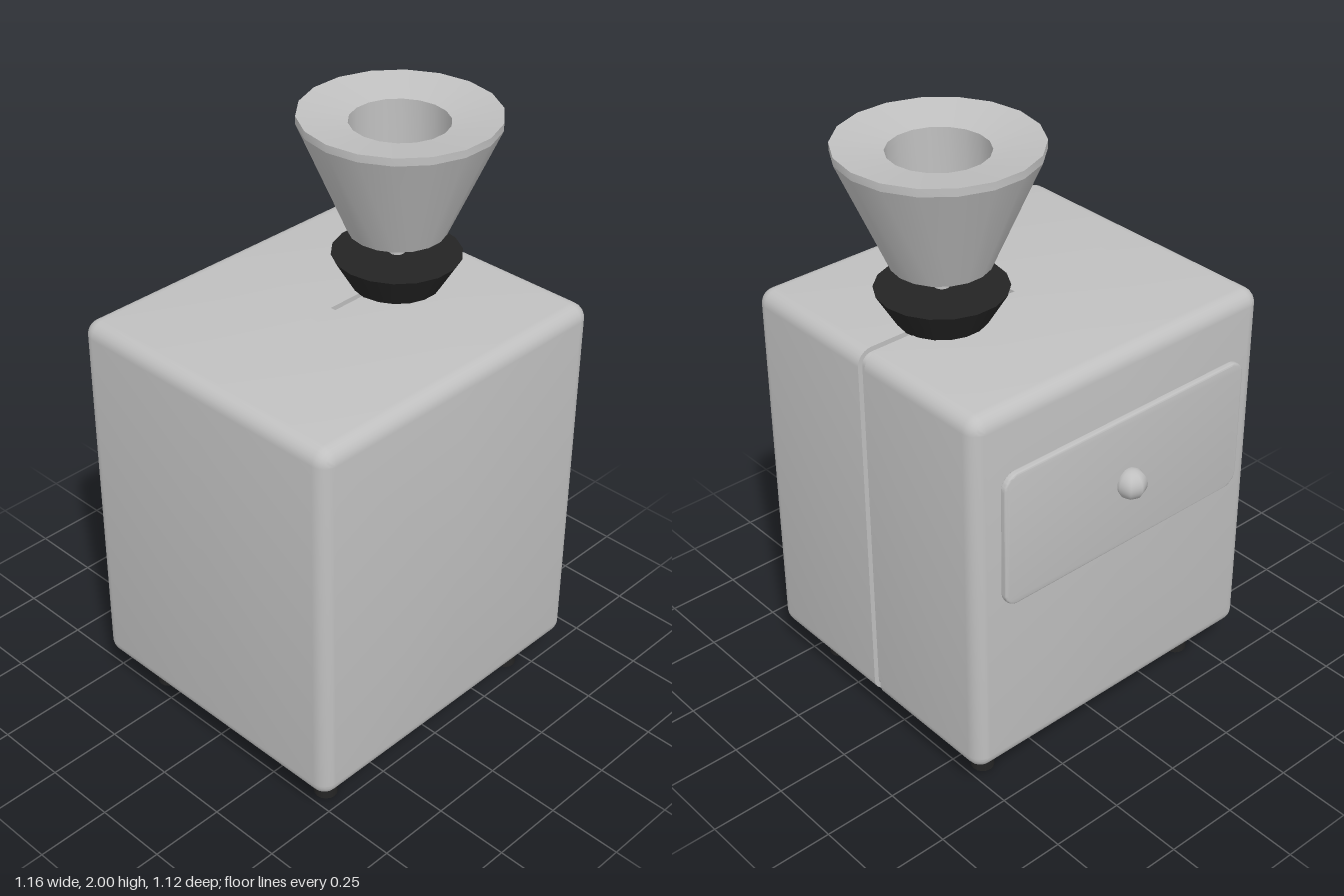
import * as THREE from 'three';
import { toCreasedNormals } from 'three/addons/utils/BufferGeometryUtils.js';

const grey = new THREE.MeshStandardMaterial({ color: 0xc0c0c0 });
grey.name = 'lightGrey';
const black = new THREE.MeshStandardMaterial({ color: 0x242424 });
black.name = 'black';

function add(group, name, geometry, material, x = 0, y = 0, z = 0) {
  const mesh = new THREE.Mesh(geometry, material);
  mesh.name = name;
  mesh.position.set(x, y, z);
  group.add(mesh);
  return mesh;
}

// One rounded-rectangle cross-section; the +x half can be sunk deeper than the rest
function ring(hx, hy, radius, inset, sunk) {
  const points = [];
  const corner = (sx, sy, start) => {
    const d = inset + (sx > 0 ? sunk : 0);
    const r = Math.max(radius - d, 0);
    for (let k = 0; k <= 6; k++) {
      const a = start + (k / 6) * Math.PI / 2;
      points.push([sx * (hx - d - r) + r * Math.cos(a), sy * (hy - d - r) + r * Math.sin(a)]);
    }
  };
  corner(1, 1, 0);
  points.push([0, hy - inset - sunk], [0, hy - inset]);
  corner(-1, 1, Math.PI / 2);
  corner(-1, -1, Math.PI);
  points.push([0, -hy + inset], [0, -hy + inset + sunk]);
  corner(1, -1, Math.PI * 1.5);
  return points;
}

// Rounded box lofted front to back, with a groove wrapping its +x half
function bodyGeometry() {
  const hx = 0.58, hy = 0.647, r = 0.05, zFront = 0.56, zBack = -0.473;
  const stations = [];
  for (let k = 0; k <= 6; k++) {
    const a = (k / 6) * Math.PI / 2;
    stations.push([zFront - r + r * Math.cos(a), r * (1 - Math.sin(a)), 0]);
  }
  stations.push([0.044, 0, 0], [0.044, 0, 0.016], [0.014, 0, 0.016], [0.014, 0, 0]);
  for (let k = 0; k <= 6; k++) {
    const a = (k / 6) * Math.PI / 2;
    stations.push([zBack + r - r * Math.sin(a), r * (1 - Math.cos(a)), 0]);
  }
  const position = [], index = [];
  let n = 0;
  for (const [z, inset, sunk] of stations) {
    const points = ring(hx, hy, r, inset, sunk);
    n = points.length;
    for (const [x, y] of points) position.push(x, y, z);
  }
  const last = stations.length - 1;
  for (let s = 0; s < last; s++) {
    for (let j = 0; j < n; j++) {
      const a = s * n + j, b = s * n + (j + 1) % n;
      index.push(a, a + n, b, b, a + n, b + n);
    }
  }
  // End caps
  const front = position.length / 3;
  position.push(0, 0, zFront, 0, 0, zBack);
  for (let j = 0; j < n; j++) {
    const k = (j + 1) % n;
    index.push(front, j, k, front + 1, last * n + k, last * n + j);
  }
  const geometry = new THREE.BufferGeometry();
  geometry.setAttribute('position', new THREE.Float32BufferAttribute(position, 3));
  geometry.setIndex(index);
  return toCreasedNormals(geometry, 0.6);
}

// Rounded plate with softened edges, centred on its own origin
function plateGeometry(w, h, r, bevel, depth) {
  const x = w / 2 - bevel, y = h / 2 - bevel;
  const shape = new THREE.Shape();
  shape.absarc(x - r, y - r, r, 0, Math.PI / 2);
  shape.absarc(-x + r, y - r, r, Math.PI / 2, Math.PI);
  shape.absarc(-x + r, -y + r, r, Math.PI, Math.PI * 1.5);
  shape.absarc(x - r, -y + r, r, Math.PI * 1.5, Math.PI * 2);
  const geometry = new THREE.ExtrudeGeometry(shape, {
    depth: depth - 2 * bevel, bevelThickness: bevel, bevelSize: bevel, bevelSegments: 3, curveSegments: 6,
  });
  geometry.translate(0, 0, bevel - depth / 2);
  return toCreasedNormals(geometry, 0.7);
}

export function createModel() {
  const model = new THREE.Group();
  model.name = 'grinder';

  add(model, 'body', bodyGeometry(), grey, 0, 0.783, 0);

  // Drawer front and knob on the back
  add(model, 'drawerFront', plateGeometry(0.98, 0.465, 0.045, 0.007, 0.022), grey, 0, 0.993, -0.489);
  add(model, 'drawerKnob', new THREE.SphereGeometry(0.05, 8, 16), grey, 0, 0.993, -0.514);

  // Four tapered feet
  for (const x of [-0.44, 0.44]) {
    for (const z of [0.427, -0.327]) {
      add(model, 'foot', new THREE.CylinderGeometry(0.03, 0.038, 0.145, 16), black, x, 0.0725, z);
    }
  }

  // Collar, spindle and hopper share one axis
  const hopper = new THREE.Group();
  hopper.name = 'hopperAssembly';
  hopper.position.set(0.26, 0, 0.043);
  hopper.rotation.y = Math.PI / 2;
  model.add(hopper);
  add(hopper, 'collar', new THREE.CylinderGeometry(0.205, 0.14, 0.109, 18), black, 0, 1.4805, 0);
  add(hopper, 'spindle', new THREE.CylinderGeometry(0.025, 0.025, 0.11, 16), grey, 0, 1.57, 0);

  // Hopper: sloped outside, dished top and a straight bore
  const profile = [[0.152, 1.615], [0.155, 1.615], [0.31, 1.975], [0.31, 2], [0.155, 1.973], [0.152, 1.615]]
    .map(([x, y]) => new THREE.Vector2(x, y));
  add(hopper, 'hopper', toCreasedNormals(new THREE.LatheGeometry(profile, 18), 0.4), grey);

  return model;
}
